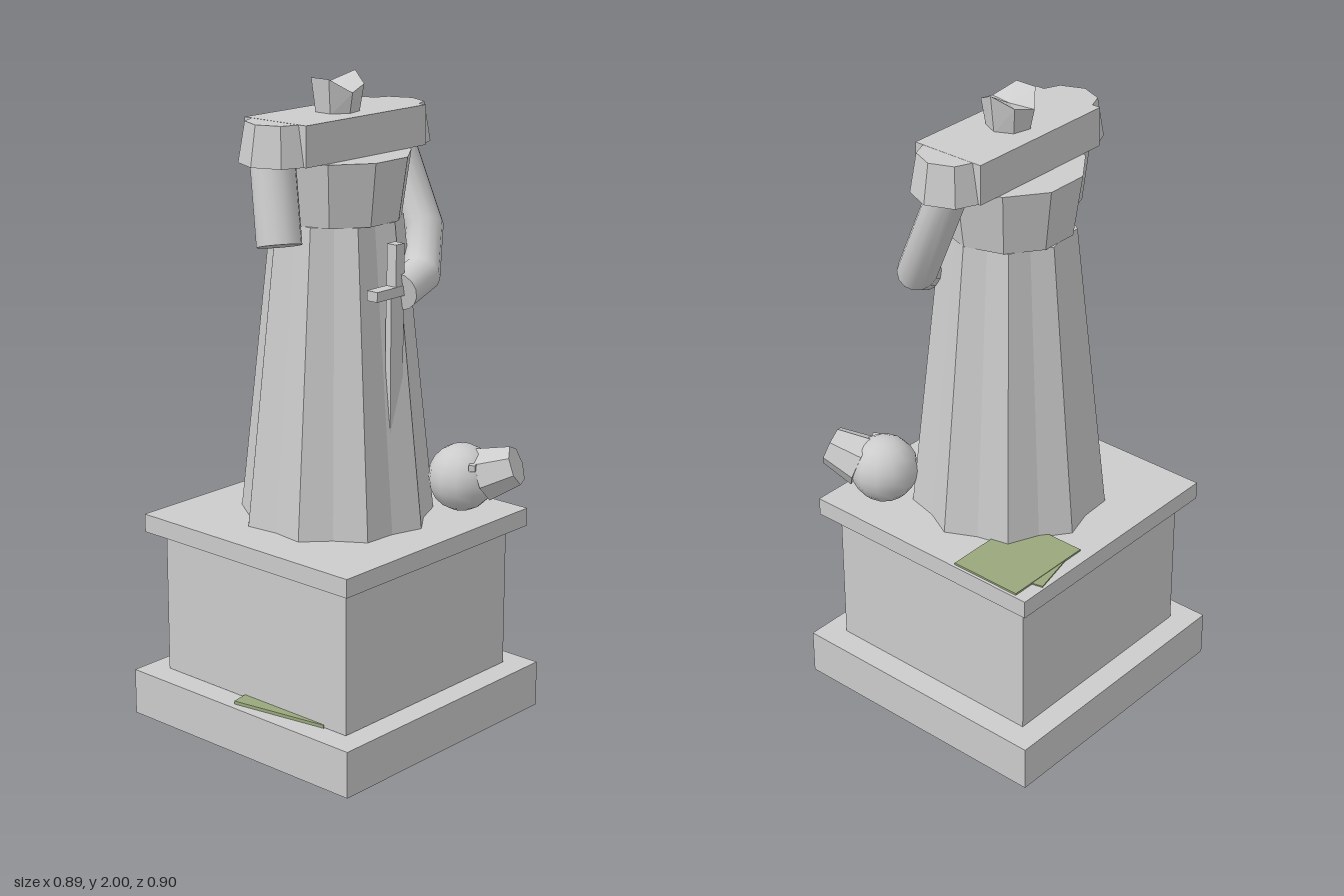
import * as THREE from 'three';

const CZ = -0.008; // depth of the statue's axis
const stone = new THREE.MeshStandardMaterial({ color: 0xcccccc, side: THREE.DoubleSide });
const facet = new THREE.MeshStandardMaterial({ color: 0xcccccc, side: THREE.DoubleSide, flatShading: true });
const green = new THREE.MeshStandardMaterial({ color: 0x9aa87c });
const V = (x, y, z) => new THREE.Vector3(x, y, z);

export function createModel() {
  const group = new THREE.Group();

  const add = (name, geo, mat, x = 0, y = 0, z = 0, ry = 0) => {
    const m = new THREE.Mesh(geo, mat);
    m.name = name;
    m.position.set(x, y, z);
    m.rotation.y = ry;
    group.add(m);
    return m;
  };
  // box given by its bottom and top heights
  const block = (name, w, y0, y1, d, x = 0, z = CZ, mat = stone, ry = 0) =>
    add(name, new THREE.BoxGeometry(w, y1 - y0, d), mat, x, (y0 + y1) / 2, z, ry);

  // Pedestal: open-bottomed foot, shaft and top slab
  const foot = block('pedestalFoot', 0.89, 0, 0.145, 0.89);
  const idx = Array.from(foot.geometry.index.array);
  idx.splice(18, 6); // drop the underside
  foot.geometry.setIndex(idx);
  foot.geometry.clearGroups();
  block('pedestalShaft', 0.736, 0.147, 0.6, 0.74);
  block('pedestalSlab', 0.83, 0.6, 0.657, 0.83);

  // Pleated robe: tapering star of nine folds
  const robe = new THREE.CylinderGeometry(0.2, 0.3, 0.925, 18, 1);
  const rp = robe.attributes.position;
  for (let i = 0; i < rp.count; i++) {
    const x = rp.getX(i), z = rp.getZ(i);
    const step = Math.round(Math.atan2(x, z) / (Math.PI / 9));
    const k = Math.abs(step) % 2 ? 0.9 : 1;
    rp.setX(i, x * k);
    rp.setZ(i, z * k);
  }
  add('robe', robe, facet, 0, 1.1185, CZ, Math.PI * 170 / 180);

  // Chest flares upward under the shoulder yoke
  add('chest', new THREE.CylinderGeometry(0.225, 0.198, 0.19, 10, 1, false, Math.PI / 10), facet, 0, 1.675, CZ);
  block('shoulderYoke', 0.52, 1.77, 1.89, 0.24);
  for (const s of [-1, 1])
    add('shoulderCap', new THREE.CylinderGeometry(0.1, 0.12, 0.119, 8), facet, s * 0.24, 1.83, CZ);

  // Broken neck with a jagged, sunken top
  const neck = new THREE.CylinderGeometry(0.08, 0.066, 0.1, 7, 1, false, Math.PI / 2);
  const np = neck.attributes.position;
  for (let i = 0; i < np.count; i++) {
    if (np.getY(i) < 0) continue;
    const x = np.getX(i), z = np.getZ(i);
    const rim = Math.hypot(x, z) > 0.01;
    np.setY(i, rim ? 0.04 + 0.026 * Math.cos(2 * Math.atan2(z, x)) : 0.02);
  }
  add('neckStump', neck, facet, 0, 1.935, CZ);

  // Arms: mitred tubes along a bent path
  add('leftArm', bentTube([V(0.262, 1.82, -0.03), V(0.297, 1.515, 0.08), V(0.14, 1.41, 0.2), V(0.01, 1.385, 0.228)], 0.058), stone);
  add('rightArmStump', bentTube([V(-0.262, 1.82, -0.02), V(-0.306, 1.545, 0.05)], 0.066), stone);

  // Sword held against the robe
  block('swordGrip', 0.036, 1.4, 1.53, 0.036, -0.002, 0.224);
  block('swordGuard', 0.205, 1.375, 1.405, 0.04, -0.002, 0.224);
  block('swordBlade', 0.056, 0.75, 1.38, 0.02, -0.002, 0.222);

  // Fallen head with its broken neck
  add('fallenHead', new THREE.SphereGeometry(0.105, 12, 10), stone, 0.272, 0.762, 0.262);
  const a = V(0.302, 0.777, 0.325), b = V(0.343, 0.815, 0.417);
  const dir = b.clone().sub(a);
  const mid = a.clone().add(b).multiplyScalar(0.5);
  const stump = add('fallenHeadNeck', new THREE.CylinderGeometry(0.062, 0.084, dir.length(), 7), facet, mid.x, mid.y, mid.z);
  stump.quaternion.setFromUnitVectors(V(0, 1, 0), dir.normalize());
  add('fallenHeadNose', new THREE.BoxGeometry(0.02, 0.02, 0.02), stone, 0.226, 0.818, 0.34, 0.5);

  // Thin green slabs lying on the pedestal
  block('greenSheet', 0.295, 0.655, 0.663, 0.237, 0.258, -0.263, green);
  block('greenSheetUnder', 0.2, 0.655, 0.661, 0.2, 0.251, -0.295, green, 0.23);
  block('greenSheetLow', 0.2, 0.14, 0.155, 0.32, -0.298, 0.102, green, 0.165);

  return group;
}

// Closed tube whose rings slide along each leg onto the joint's bisecting plane
function bentTube(path, radius, sides = 14) {
  const legs = path.slice(1).map((p, i) => p.clone().sub(path[i]).normalize());
  const u = new THREE.Vector3(1, 0, 0).cross(legs[0]).normalize();
  const v = legs[0].clone().cross(u);
  let ring = [];
  for (let j = 0; j < sides; j++) {
    const t = (j / sides) * Math.PI * 2;
    ring.push(path[0].clone().addScaledVector(u, radius * Math.cos(t)).addScaledVector(v, radius * Math.sin(t)));
  }
  const pos = [], index = [];
  const put = (p) => pos.push(p.x, p.y, p.z) / 3 - 1;
  const cap = (pts, centre, flip) => {
    const c = put(centre), ids = pts.map(put);
    ids.forEach((id, j) => {
      const next = ids[(j + 1) % sides];
      index.push(c, flip ? next : id, flip ? id : next);
    });
  };
  cap(ring, path[0], true);
  let prev = ring.map(put);
  legs.forEach((d, i) => {
    const end = path[i + 1];
    const normal = d.clone().add(legs[i + 1] ?? d).normalize();
    ring = ring.map((p) => p.clone().addScaledVector(d, end.clone().sub(p).dot(normal) / d.dot(normal)));
    const ids = ring.map(put);
    for (let j = 0; j < sides; j++) {
      const k = (j + 1) % sides;
      index.push(prev[j], prev[k], ids[j], prev[k], ids[k], ids[j]);
    }
    prev = ids;
  });
  cap(ring, path[path.length - 1], false);
  const geo = new THREE.BufferGeometry();
  geo.setAttribute('position', new THREE.Float32BufferAttribute(pos, 3));
  geo.setIndex(index);
  geo.computeVertexNormals();
  return geo;
}
